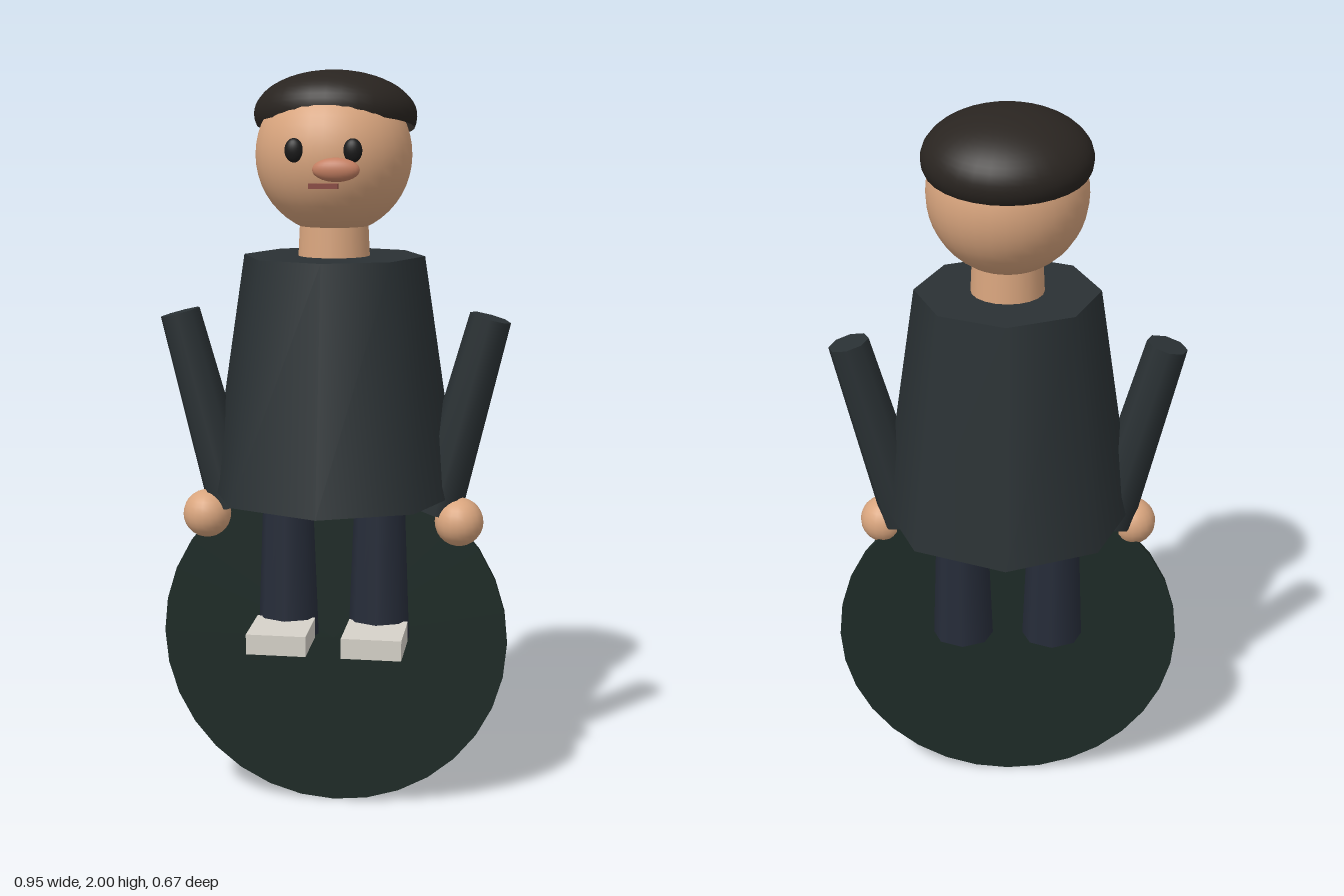
import * as THREE from 'three';

const material = (color) => new THREE.MeshStandardMaterial({ color });

export function createModel() {
  const model = new THREE.Group();
  const skin = material(0xd9a57e);
  const coat = material(0x2a3134);
  const trousers = material(0x262c39);
  const black = material(0x1a1a1a);
  const shoeWhite = material(0xd6d2c9);

  const add = (name, geometry, mat, x, y, z, parent = model) => {
    const mesh = new THREE.Mesh(geometry, mat);
    mesh.name = name;
    mesh.position.set(x, y, z);
    parent.add(mesh);
    return mesh;
  };
  const ellipsoid = (rx, ry, rz) => new THREE.SphereGeometry(1, 24, 16).scale(rx, ry, rz);

  // Upright thin disc behind and between the legs
  const disc = add('disc', new THREE.CylinderGeometry(0.475, 0.475, 0.018, 32), material(0x1e2b27), 0, 0.475, 0);
  disc.rotation.x = Math.PI / 2;

  // Eight-sided flared coat and neck
  add('coat', new THREE.CylinderGeometry(0.24, 0.337, 0.635, 8), coat, 0, 1.2075, 0);
  add('neck', new THREE.CylinderGeometry(0.09, 0.098, 0.16, 20), skin, 0, 1.54, 0);

  // Head and face
  const head = new THREE.Group();
  head.name = 'head';
  model.add(head);
  add('skull', new THREE.SphereGeometry(0.204, 32, 24), skin, 0, 1.785, 0, head);
  add('nose', ellipsoid(0.06, 0.03, 0.024), material(0xc47f62), 0.033, 1.755, 0.2, head);
  add('mouth', new THREE.BoxGeometry(0.075, 0.013, 0.02), material(0x8a4a42), 0, 1.714, 0.19, head);

  // Cap of hair, open below and tipped back
  const hairMaterial = material(0x292420);
  hairMaterial.side = THREE.DoubleSide;
  const hairCap = new THREE.SphereGeometry(1, 32, 16, 0, Math.PI * 2, 0, Math.PI * 0.58);
  hairCap.scale(0.213, 0.113, 0.19);
  const hair = add('hair', hairCap, hairMaterial, 0, 1.884, -0.028, head);
  hair.rotation.x = -0.19;

  // Mirrored parts
  for (const [side, s] of [['left', 1], ['right', -1]]) {
    add(side + 'Eye', ellipsoid(0.024, 0.03, 0.016), black, s * 0.074, 1.802, 0.191, head);

    const arm = add(side + 'Arm', new THREE.CylinderGeometry(0.055, 0.068, 0.54, 8), coat, s * 0.346, 1.108, 0.013);
    arm.rotation.z = -s * 0.255;
    add(side + 'Hand', new THREE.SphereGeometry(0.065, 20, 14), skin, s * 0.342, 0.825, 0.042);

    add(side + 'Leg', new THREE.CylinderGeometry(0.07, 0.087, 0.44, 8), trousers, s * 0.125, 0.705, 0);
    add(side + 'Shoe', new THREE.BoxGeometry(0.16, 0.055, 0.17), shoeWhite, s * 0.127, 0.511, 0.122);
  }

  return model;
}
